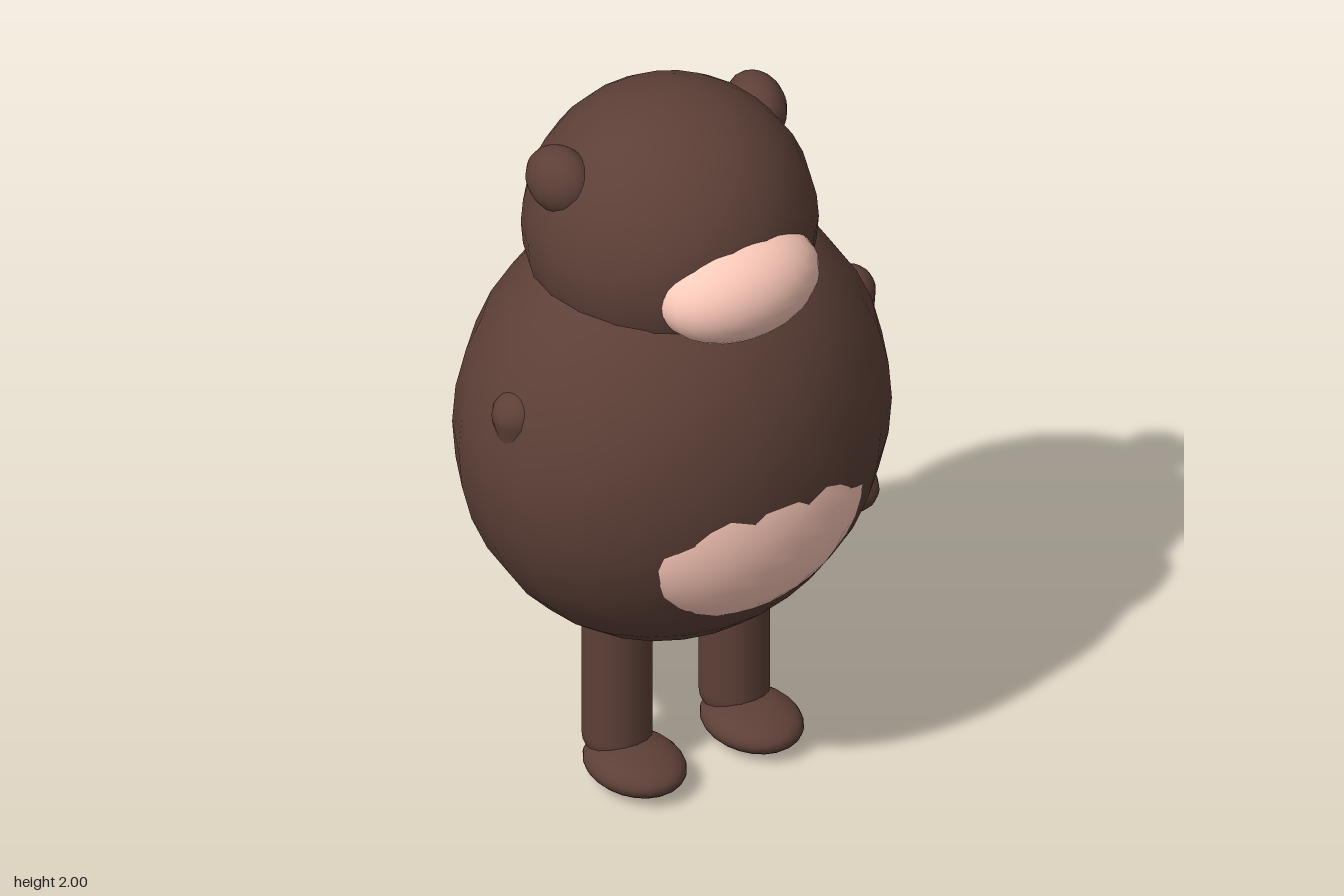
import * as THREE from 'three';

const fur = new THREE.MeshStandardMaterial({ color: 0x5d4037 });
const skin = new THREE.MeshStandardMaterial({ color: 0xffccbc });

export function createModel() {
  const model = new THREE.Group();
  model.name = 'roundAnimal';

  function add(name, geometry, material, position) {
    const mesh = new THREE.Mesh(geometry, material);
    mesh.name = name;
    mesh.position.set(...position);
    model.add(mesh);
    return mesh;
  }

  // Ellipsoid with smooth normals from centre and radii
  function ellipsoid(name, material, position, radii, segments = 22) {
    const geometry = new THREE.SphereGeometry(1, segments, 18).scale(...radii);
    return add(name, geometry, material, position);
  }

  // Round-ended limb between two points
  function limb(name, from, to, radius) {
    const a = new THREE.Vector3(...from);
    const b = new THREE.Vector3(...to);
    const axis = b.clone().sub(a);
    const geometry = new THREE.CapsuleGeometry(radius, axis.length(), 6, 16);
    const mesh = add(name, geometry, fur, a.clone().add(b).multiplyScalar(0.5).toArray());
    mesh.quaternion.setFromUnitVectors(new THREE.Vector3(0, 1, 0), axis.normalize());
    return mesh;
  }

  // Torso and head
  ellipsoid('body', fur, [0, 1.03, 0], [0.595, 0.625, 0.512]);
  ellipsoid('bellyPatch', skin, [0, 0.92, 0.305], [0.372, 0.32, 0.208]);
  ellipsoid('head', fur, [0, 1.614, -0.01], [0.387, 0.386, 0.384]);
  ellipsoid('muzzle', skin, [0, 1.585, 0.3], [0.235, 0.15, 0.157]);

  // Ears, legs and feet
  for (const [side, s] of [['left', 1], ['right', -1]]) {
    const ear = ellipsoid(side + 'Ear', fur, [s * 0.308, 1.82, -0.065], [0.077, 0.092, 0.102], 16);
    ear.rotation.y = s * -0.15;
    limb(side + 'Leg', [s * 0.184, 0.125, 0.016], [s * 0.184, 0.5, 0.016], 0.094);
    ellipsoid(side + 'Foot', fur, [s * 0.184, 0.06, 0.097], [0.124, 0.06, 0.158]);
  }

  // Arms, mostly sunk into the body; the right hand is tucked inside
  limb('leftArm', [0.525, 1.23, 0.047], [0.475, 0.66, 0.055], 0.069);
  ellipsoid('leftHand', fur, [0.488, 0.665, 0.087], [0.08, 0.068, 0.098], 16);
  limb('rightArm', [-0.515, 1.23, 0.045], [-0.37, 0.66, 0.055], 0.069);
  ellipsoid('rightHand', fur, [-0.35, 0.665, 0.087], [0.08, 0.068, 0.098], 16);

  return model;
}
